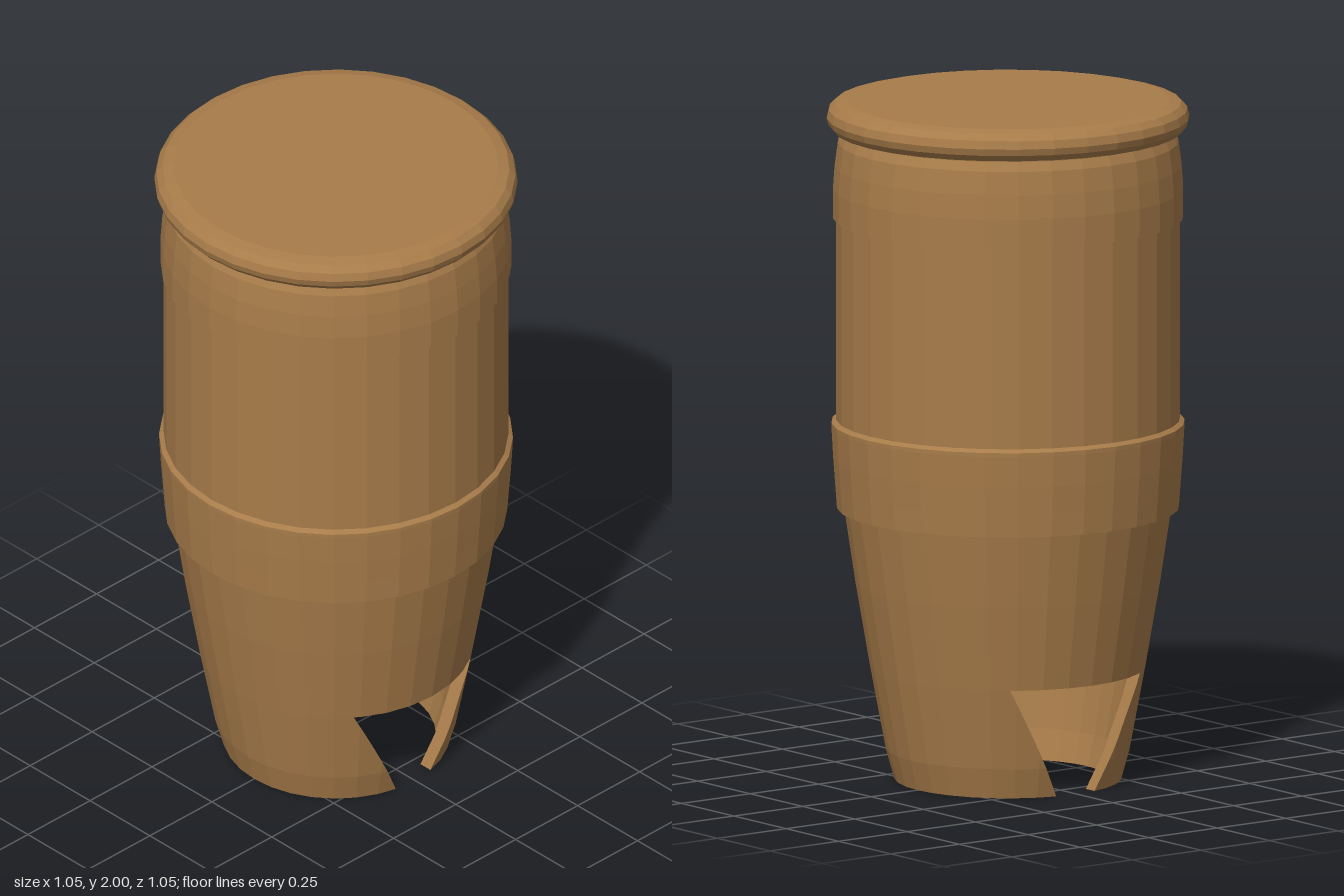
import * as THREE from 'three';

const SIDES = 32, WALL = 0.04, NOTCH_TOP = 0.33;
const wood = new THREE.MeshStandardMaterial({ color: 0xa87c4a, flatShading: true });

// Tapered lower wall, from the foot up to the wide band: [radius, height]
const taper = [[0.33, 0], [0.355, 0.09], [0.4, NOTCH_TOP], [0.443, 0.58], [0.476, 0.8]];

function taperRadius(y) {
  let i = 1;
  while (i < taper.length - 1 && y > taper[i][1]) i++;
  const [r0, y0] = taper[i - 1], [r1, y1] = taper[i];
  return r0 + (r1 - r0) * (y - y0) / (y1 - y0);
}

function lathe(name, points) {
  const geometry = new THREE.LatheGeometry(points.map(([r, y]) => new THREE.Vector2(r, y)), SIDES);
  const mesh = new THREE.Mesh(geometry, wood);
  mesh.name = name;
  return mesh;
}

// Point on the faceted wall at an angle measured from +z towards +x
function wallPoint(r, y, angle) {
  const step = 2 * Math.PI / SIDES;
  const d = r * Math.cos(step / 2) / Math.cos(angle % step - step / 2);
  return [Math.sin(angle) * d, y, Math.cos(angle) * d];
}

// Curved leg left standing between the two wedge-shaped notches
function legGeometry() {
  const rows = 11, cols = SIDES / 2, loop = 2 * (cols + 1);
  const positions = [], index = [];
  for (let j = 0; j <= rows; j++) {
    const y = NOTCH_TOP * j / rows;
    const halfGap = 0.07 + 0.168 * j / rows;
    const outer = taperRadius(y), inner = outer - WALL;
    const arc = (r, k) => {
      const cut = Math.asin(halfGap / r);
      const angle = THREE.MathUtils.clamp(k * Math.PI / cols, cut, Math.PI - cut);
      positions.push(...wallPoint(r, y, angle));
    };
    for (let k = 0; k <= cols; k++) arc(outer, k);
    for (let k = cols; k >= 0; k--) arc(inner, k);
  }
  for (let j = 0; j < rows; j++) {
    for (let k = 0; k < loop; k++) {
      const a = j * loop + k, b = j * loop + (k + 1) % loop;
      index.push(a, b, a + loop, b, b + loop, a + loop);
    }
  }
  // Underside of the foot
  for (let k = 0; k < cols; k++) {
    const i = loop - 1 - k;
    index.push(k, i, k + 1, i, i - 1, k + 1);
  }
  const geometry = new THREE.BufferGeometry();
  geometry.setAttribute('position', new THREE.Float32BufferAttribute(positions, 3));
  geometry.setIndex(index);
  geometry.computeVertexNormals();
  return geometry;
}

export function createModel() {
  const group = new THREE.Group();
  group.name = 'notchedCanister';

  // Hollow shell: cavity ceiling, inner wall down, lip, outer wall up
  const upper = taper.slice(2);
  const innerWall = upper.map(([r, y]) => [r - WALL, y]).reverse();
  group.add(lathe('shell', [
    [0, 1.86], [0.45, 1.86], [0.46, 1.06], ...innerWall,
    ...upper, [0.5, 1.04], [0.5, 1.67], [0.48, 1.9], [0.48, 1.92],
  ]));

  group.add(lathe('lowerBand', [
    [0.46, 0.8], [0.497, 0.8], [0.502, 0.87], [0.508, 0.95], [0.513, 1.04], [0.513, 1.052], [0.499, 1.062],
  ]));

  group.add(lathe('upperBand', [
    [0.49, 1.655], [0.509, 1.655], [0.509, 1.74], [0.504, 1.81], [0.495, 1.878], [0.483, 1.905], [0.47, 1.905],
  ]));

  group.add(lathe('lid', [
    [0.46, 1.907], [0.505, 1.912], [0.521, 1.93], [0.527, 1.95], [0.521, 1.974], [0.503, 1.992], [0.47, 2], [0, 2],
  ]));

  const geometry = legGeometry();
  ['leftLeg', 'rightLeg'].forEach((name, i) => {
    const leg = new THREE.Mesh(geometry, wood);
    leg.name = name;
    leg.rotation.y = i * Math.PI;
    group.add(leg);
  });
  return group;
}
